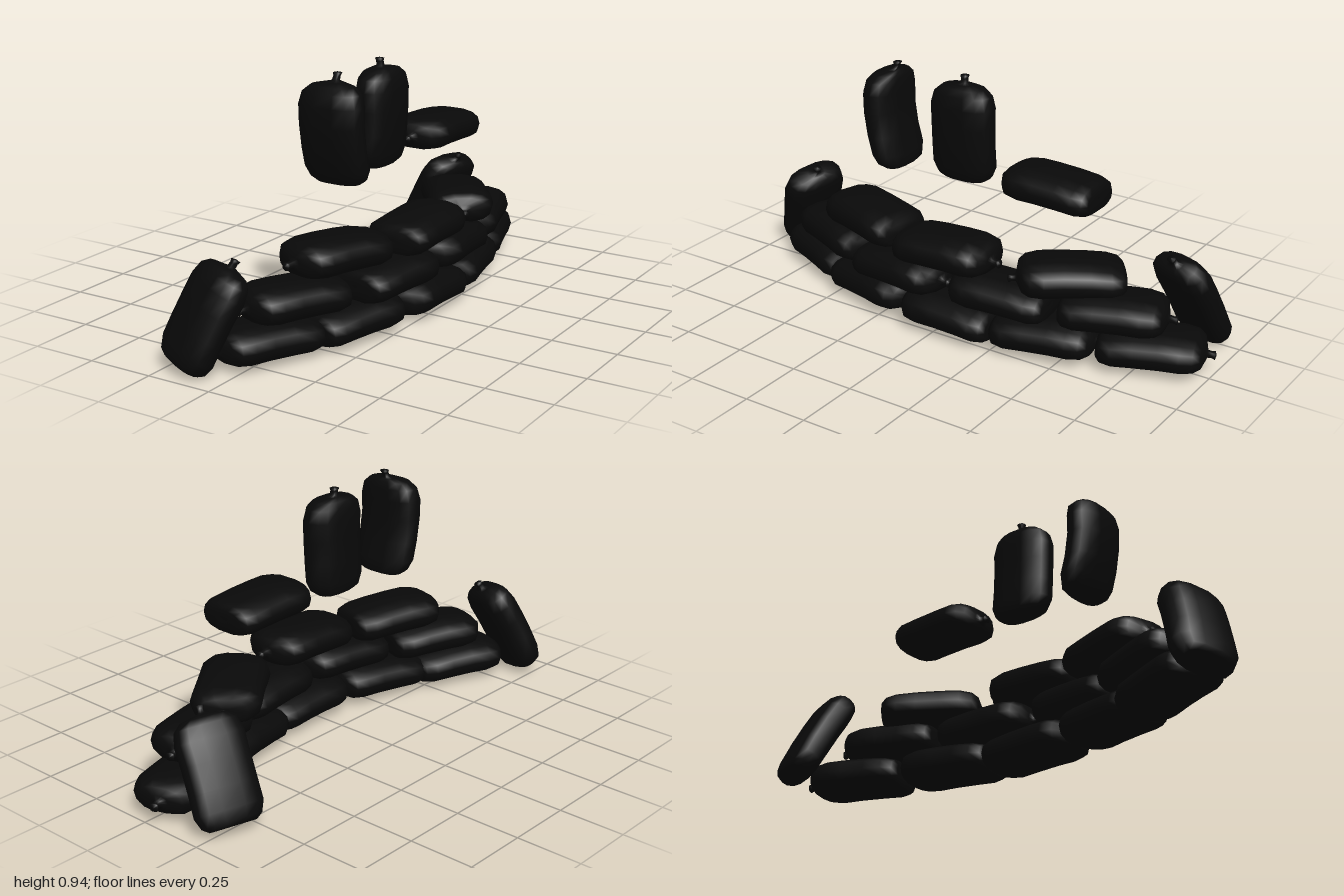
import * as THREE from 'three';

const blackCloth = new THREE.MeshStandardMaterial({ color: 0x090909 });
blackCloth.name = 'blackCloth';

// Bag cross-sections from base to tied neck: [y, half width, half thickness, bend offset]
const SECTIONS = [
  [-0.178, 0, 0, -0.03],
  [-0.184, 0.085, 0.038, -0.03],
  [-0.168, 0.108, 0.052, -0.028],
  [-0.13, 0.125, 0.058, -0.018],
  [-0.06, 0.123, 0.061, 0.003],
  [0.03, 0.123, 0.062, 0.018],
  [0.1, 0.125, 0.062, 0.018],
  [0.145, 0.113, 0.056, 0.014],
  [0.168, 0.085, 0.044, 0.008],
  [0.178, 0.035, 0.024, -0.005],
  [0.183, 0.014, 0.012, -0.012],
  [0.198, 0.012, 0.011, -0.02],
  [0.208, 0.016, 0.014, -0.024],
  [0.212, 0, 0, -0.024],
];
const SIDES = 14;

// Filled bag: local y is its length, x its width, z its thickness
function bagGeometry(bend) {
  const pos = [], idx = [];
  const soft = (v, p) => Math.sign(v) * Math.abs(v) ** p;
  SECTIONS.forEach(([y, w, t, off], r) => {
    for (let i = 0; i < SIDES; i++) {
      const a = (i / SIDES) * Math.PI * 2;
      pos.push(w * soft(Math.cos(a), 0.75), y, t * soft(Math.sin(a), 0.8) + off * bend);
      if (r === SECTIONS.length - 1) continue;
      const p = r * SIDES + i, q = r * SIDES + ((i + 1) % SIDES);
      idx.push(p, p + SIDES, q, q, p + SIDES, q + SIDES);
    }
  });
  const g = new THREE.BufferGeometry();
  g.setAttribute('position', new THREE.Float32BufferAttribute(pos, 3));
  g.setIndex(idx);
  g.computeVertexNormals();
  return g;
}

export function createModel() {
  const model = new THREE.Group();
  model.name = 'sandbagWall';
  const bentBag = bagGeometry(0.9), flatBag = bagGeometry(0.25);

  // Place a bag by its length direction and its thickness direction
  function addBag(name, geometry, center, dir, face, scale = [1, 1, 1]) {
    const y = new THREE.Vector3(...dir).normalize();
    const x = y.clone().cross(new THREE.Vector3(...face)).normalize();
    const z = x.clone().cross(y);
    const bag = new THREE.Mesh(geometry, blackCloth);
    bag.name = name;
    bag.quaternion.setFromRotationMatrix(new THREE.Matrix4().makeBasis(x, y, z));
    bag.position.set(...center);
    bag.scale.set(...scale);
    model.add(bag);
  }

  // Three curved courses: [x, z, sideways slope, neck direction, height offset]
  const courses = [
    { name: 'bottomCourseBag', y: 0.068, bags: [
      [-0.01, 0.67, -0.42, 1, 0], [0.125, 0.33, -0.26, -1, 0], [0.18, -0.045, 0, 1, 0],
      [0.135, -0.42, 0.2, -1, 0], [0.023, -0.79, 0.33, -1, 0]] },
    { name: 'middleCourseBag', y: 0.191, bags: [
      [0.035, 0.57, -0.4, 1, 0], [0.178, 0.17, -0.14, -1, 0],
      [0.167, -0.25, 0.1, 1, 0], [0.07, -0.66, 0.3, -1, 0]] },
    { name: 'topCourseBag', y: 0.313, bags: [
      [0.09, 0.385, -0.3, 1, 0], [0.185, -0.03, 0, -1, 0], [0.095, -0.485, 0.75, 1, -0.02]] },
  ];
  for (const { name, y, bags } of courses) {
    bags.forEach(([x, z, slope, s, dy], i) => {
      addBag(`${name}${i + 1}`, flatBag, [x, y + dy, z], [slope * s, 0, s], [0, 1, 0], [1.02, 1.05, 1.05]);
    });
  }

  // Bags leaning against the two ends
  addBag('frontLeaningBag', flatBag, [-0.12, 0.185, 0.855], [0.11, 0.3, -0.13],
    [-0.084, 0.156, 0.288], [1, 1.02, 1.12]);
  addBag('backLeaningBag', flatBag, [-0.185, 0.19, -0.83], [0.18, 0.3, 0.05],
    [-0.28, 0.19, -0.1], [1.02, 1.06, 1]);

  // Three loose bags above the wall
  addBag('looseBagFacingFront', bentBag, [0.045, 0.72, 0.313], [0, 1, 0], [0, 0, 1], [1, 1, 1.06]);
  addBag('looseBagFacingSide', flatBag, [0.043, 0.72, 0], [0, 1, 0], [1, 0, 0], [1, 1, 1.15]);
  addBag('looseBagLying', flatBag, [0.045, 0.592, -0.385], [0, 0, 1], [0, 1, 0]);

  return model;
}
